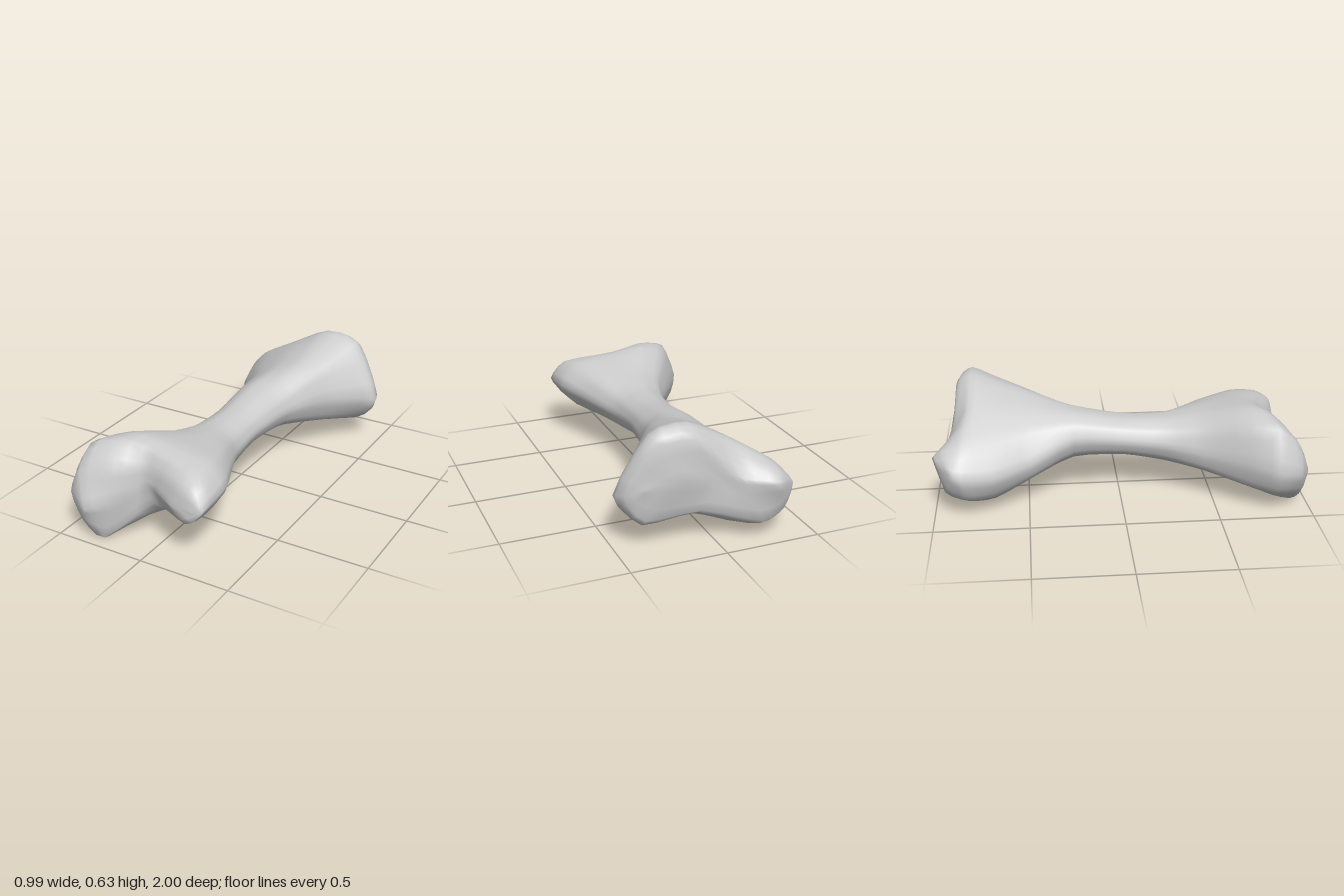
import * as THREE from 'three';
import { mergeVertices } from 'three/addons/utils/BufferGeometryUtils.js';

const SIDES = 10; // control points per loop: right side, over the top, left side, underneath
const STEPS = 3; // smooth steps between control points
const TENSION = 0.32; // how far the skin bulges between control points

// Loop of [x, y] (optionally [x, y, z]) points around the bone
const loop = (z, pts) => pts.map(([x, y, pz = z]) => new THREE.Vector3(x, y, pz));

// Plain oval loop for the shaft
const oval = (z, x0, x1, y0, y1) => loop(z, Array.from({ length: SIDES }, (_, j) => {
  const a = Math.PI - (j / SIDES) * Math.PI * 2;
  return [(x0 + x1) / 2 + Math.cos(a) * (x1 - x0) / 2, (y0 + y1) / 2 + Math.sin(a) * (y1 - y0) / 2];
}));

// Closing seam of an end, from right to left and back along the same line
const seam = (pts) => loop(0, [...pts, ...pts.slice(1, -1).reverse()]);

// Two unequal knuckles at the front
const frontEnd = [
  seam([[-0.42, 0.21, 0.955], [-0.33, 0.19, 1], [-0.2, 0.24, 0.91],
    [-0.08, 0.3, 0.8], [0.12, 0.3, 0.9], [0.25, 0.3, 0.91]]),
  loop(0.92, [[-0.465, 0.22, 0.93], [-0.4, 0.36, 0.93], [-0.22, 0.4, 0.88], [-0.07, 0.39, 0.79], [0.2, 0.39, 0.89],
    [0.3, 0.31, 0.89], [0.21, 0.225, 0.91], [-0.06, 0.2, 0.79], [-0.27, 0.005, 0.93], [-0.38, 0.09, 0.955]]),
  loop(0.81, [[-0.495, 0.25], [-0.41, 0.46], [-0.24, 0.5, 0.78], [-0.06, 0.475, 0.75], [0.23, 0.435],
    [0.31, 0.33], [0.23, 0.215], [-0.03, 0.145, 0.74], [-0.25, 0.02], [-0.445, 0.11]]),
  loop(0.66, [[-0.41, 0.27], [-0.35, 0.45], [-0.21, 0.51], [-0.04, 0.495], [0.2, 0.455],
    [0.3, 0.34], [0.21, 0.205], [-0.02, 0.13], [-0.23, 0.09], [-0.37, 0.13]]),
  loop(0.45, [[-0.275, 0.27], [-0.23, 0.39], [-0.12, 0.445], [0.01, 0.45], [0.15, 0.415],
    [0.205, 0.31], [0.14, 0.205], [-0.02, 0.15], [-0.15, 0.13], [-0.25, 0.175]]),
];

// Narrow waist
const shaft = [
  oval(0.25, -0.195, 0.125, 0.155, 0.417),
  oval(0.02, -0.165, 0.115, 0.195, 0.417),
  oval(-0.25, -0.175, 0.16, 0.185, 0.463),
];

// Tall left knuckle and low pointed right knuckle at the back
const backEnd = [
  loop(-0.48, [[-0.265, 0.25], [-0.18, 0.39], [-0.04, 0.48], [0.1, 0.52], [0.21, 0.485],
    [0.275, 0.33], [0.21, 0.185], [0.04, 0.14], [-0.13, 0.12], [-0.235, 0.16]]),
  loop(-0.68, [[-0.37, 0.22], [-0.26, 0.375], [-0.07, 0.505], [0.12, 0.585], [0.29, 0.55],
    [0.435, 0.3], [0.32, 0.14], [0.11, 0.14], [-0.16, 0.025], [-0.31, 0.09]]),
  loop(-0.8, [[-0.415, 0.24, -0.85], [-0.31, 0.375, -0.84], [-0.09, 0.505, -0.81], [0.13, 0.622], [0.325, 0.588, -0.79],
    [0.49, 0.275, -0.735], [0.36, 0.115, -0.78], [0.12, 0.14, -0.79], [-0.18, 0.035, -0.81], [-0.36, 0.1, -0.82]]),
  loop(-0.88, [[-0.4, 0.26, -0.9], [-0.29, 0.355, -0.945], [-0.1, 0.41], [0.12, 0.56], [0.32, 0.535, -0.86],
    [0.46, 0.3, -0.81], [0.36, 0.16, -0.84], [0.08, 0.18, -0.87], [-0.22, 0.1, -0.945], [-0.34, 0.15, -0.935]]),
  seam([[-0.36, 0.28, -0.93], [-0.27, 0.31, -1], [-0.13, 0.31, -0.94],
    [-0.01, 0.33, -0.89], [0.2, 0.37, -0.895], [0.38, 0.32, -0.855]]),
];

// Smooth curve through points, either open or closed
function refine(points, closed) {
  const n = points.length;
  const at = (i) => points[closed ? (i + n) % n : Math.min(Math.max(i, 0), n - 1)];
  const out = [];
  for (let i = 0; i < (closed ? n : n - 1); i++) {
    const [a, b, c, d] = [at(i - 1), at(i), at(i + 1), at(i + 2)];
    for (let s = 0; s < STEPS; s++) {
      const t = s / STEPS, t2 = t * t, t3 = t2 * t;
      const blend = 3 * t2 - 2 * t3;
      const leave = TENSION * (t - 2 * t2 + t3), arrive = TENSION * (t3 - t2);
      out.push(new THREE.Vector3()
        .addScaledVector(a, -leave)
        .addScaledVector(b, 1 - blend - arrive)
        .addScaledVector(c, blend + leave)
        .addScaledVector(d, arrive));
    }
  }
  if (!closed) out.push(points[n - 1].clone());
  return out;
}

// Skin stretched over the loops from front to back
function skin(loops) {
  const rounded = loops.map((l) => refine(l, true));
  const columns = rounded[0].map((_, j) => refine(rounded.map((l) => l[j]), false));
  const n = columns.length, rows = columns[0].length;
  const positions = [], index = [];
  for (let i = 0; i < rows; i++) {
    for (let j = 0; j < n; j++) {
      positions.push(...columns[j][i].toArray());
      if (i === rows - 1) continue;
      const a = i * n + j, b = i * n + (j + 1) % n;
      index.push(a, b, a + n, b, b + n, a + n);
    }
  }
  const geometry = new THREE.BufferGeometry();
  geometry.setAttribute('position', new THREE.Float32BufferAttribute(positions, 3));
  geometry.setIndex(index);
  const merged = mergeVertices(geometry, 1e-4);
  merged.computeVertexNormals();
  return merged;
}

export function createModel() {
  const group = new THREE.Group();
  group.name = 'bone';
  const bone = new THREE.Mesh(
    skin([...frontEnd, ...shaft, ...backEnd]),
    new THREE.MeshStandardMaterial({ color: 0xcccccc }),
  );
  bone.name = 'boneBody';
  group.add(bone);
  return group;
}
